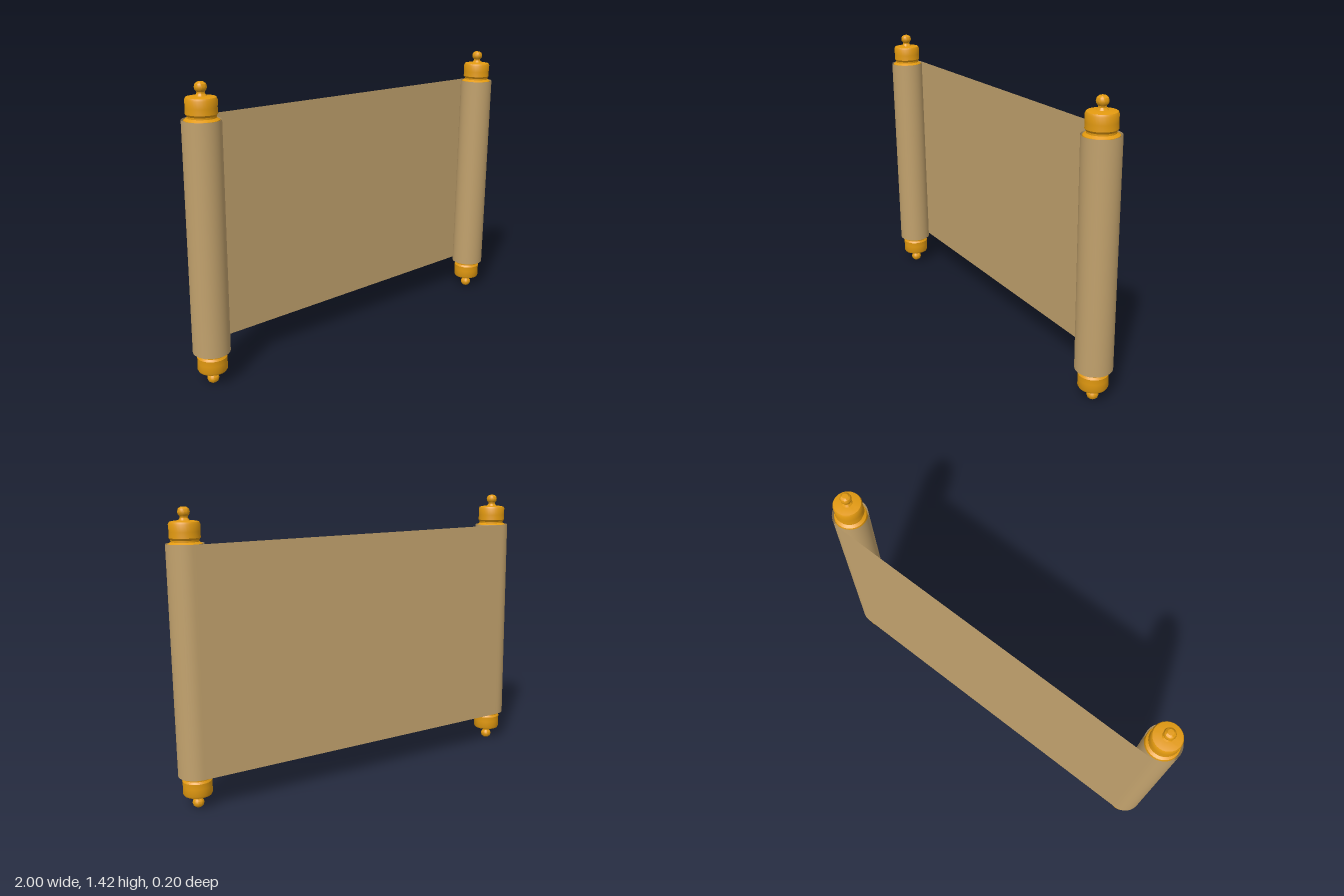
import * as THREE from 'three';
import { toCreasedNormals } from 'three/addons/utils/BufferGeometryUtils.js';

const ROD_X = 0.91, MID_Y = 0.71, ROLL_R = 0.09, HALF_SHEET = 0.547;

// Turned rod with a knob and ball finial at both ends
function rodGeometry() {
  const half = [
    [0.08, 0.538], [0.078, 0.546], [0.064, 0.555], [0.064, 0.563], [0.071, 0.573],
    [0.0695, 0.6], [0.071, 0.634], [0.066, 0.644], [0.045, 0.648], [0.026, 0.649],
    [0.018, 0.66], [0.018, 0.667], [0.026, 0.677], [0.028, 0.688], [0.024, 0.701],
    [0.014, 0.709], [0, 0.71],
  ];
  const top = half.map(([r, y]) => new THREE.Vector2(r, y));
  const bottom = half.map(([r, y]) => new THREE.Vector2(r, -y)).reverse();
  return toCreasedNormals(new THREE.LatheGeometry([...bottom, ...top], 32), 0.6);
}

// Flat sheet whose ends spiral around the two rods
function sheetGeometry() {
  const roll = [];
  const steps = 60, turns = 1.25;
  for (let i = 0; i <= steps; i++) {
    const t = i / steps, a = t * turns * Math.PI * 2;
    const r = ROLL_R - 0.007 * t;
    roll.push([ROD_X + r * Math.sin(a), -r * Math.cos(a)]);
  }
  // extra points keep the flat span evenly shaded
  roll.unshift([ROD_X - 0.02, -ROLL_R]);
  const path = [...roll.map(([x, z]) => [-x, z]).reverse(), ...roll];

  const positions = [], index = [];
  path.forEach(([x, z], i) => {
    positions.push(x, -HALF_SHEET, z, x, HALF_SHEET, z);
    if (i) {
      const a = 2 * (i - 1);
      index.push(a, a + 2, a + 1, a + 1, a + 2, a + 3);
    }
  });
  const geometry = new THREE.BufferGeometry();
  geometry.setAttribute('position', new THREE.Float32BufferAttribute(positions, 3));
  geometry.setIndex(index);
  geometry.computeVertexNormals();
  return geometry;
}

export function createModel() {
  const parchment = new THREE.MeshStandardMaterial({ color: 0xc2a26d, side: THREE.DoubleSide });
  parchment.name = 'parchment';
  const gold = new THREE.MeshStandardMaterial({ color: 0xe39a10 });
  gold.name = 'gold';

  const scroll = new THREE.Group();
  scroll.name = 'scroll';

  const sheet = new THREE.Mesh(sheetGeometry(), parchment);
  sheet.name = 'parchmentSheet';
  scroll.add(sheet);

  const rod = rodGeometry();
  for (const side of [-1, 1]) {
    const mesh = new THREE.Mesh(rod, gold);
    mesh.name = side > 0 ? 'leftRod' : 'rightRod';
    mesh.position.x = side * ROD_X;
    scroll.add(mesh);
  }

  // The whole scroll leans very slightly
  scroll.position.y = MID_Y;
  scroll.rotation.set(0.0155, 0.0044, 0);

  const model = new THREE.Group();
  model.name = 'openScroll';
  model.add(scroll);
  return model;
}
